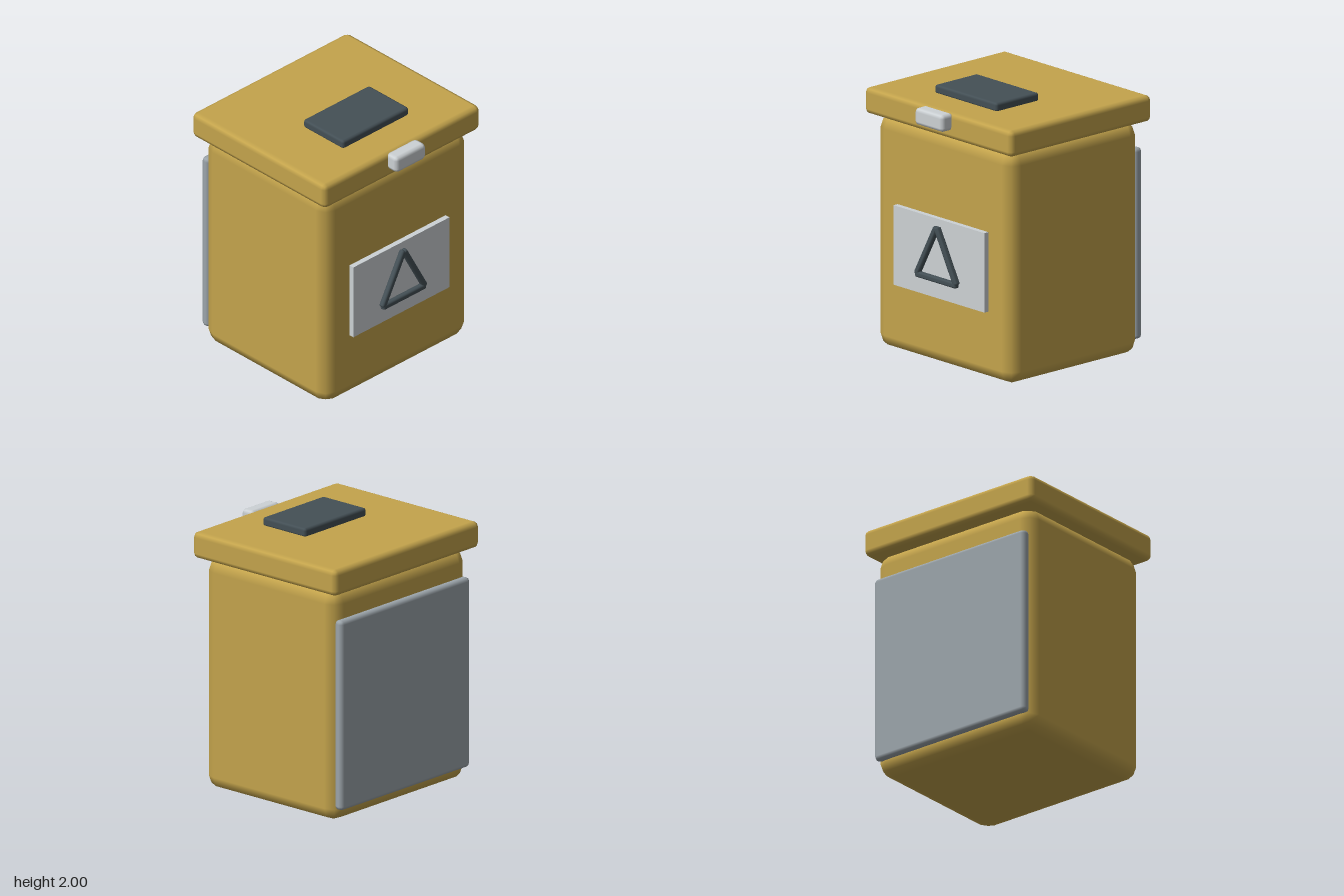
import * as THREE from 'three';
import { RoundedBoxGeometry } from 'three/addons/geometries/RoundedBoxGeometry.js';

function material(name, color) {
  const m = new THREE.MeshStandardMaterial({ color });
  m.name = name;
  return m;
}

export function createModel() {
  const model = new THREE.Group();
  model.name = 'bin';

  const mustard = material('mustard', 0xc4a44c);
  const lightGrey = material('light grey', 0xcdd2d5);
  const steelGrey = material('steel grey', 0x9ca5ab);
  const charcoal = material('charcoal', 0x445056);

  // Box given by its [min, max] extents, with chamfered edges when radius > 0
  function box(name, mat, [x0, x1], [y0, y1], [z0, z1], radius) {
    const size = [x1 - x0, y1 - y0, z1 - z0];
    const geometry = radius > 0
      ? new RoundedBoxGeometry(...size, 1, radius)
      : new THREE.BoxGeometry(...size);
    const mesh = new THREE.Mesh(geometry, mat);
    mesh.name = name;
    mesh.position.set((x0 + x1) / 2, (y0 + y1) / 2, (z0 + z1) / 2);
    model.add(mesh);
    return mesh;
  }

  // Container and overhanging lid
  box('body', mustard, [-0.72, 0.72], [0, 1.745], [-0.675, 0.59], 0.1);
  box('lid', mustard, [-0.78, 0.78], [1.74, 1.94], [-0.735, 0.645], 0.04);

  // Lid fittings
  box('lidPad', charcoal, [-0.33, 0.33], [1.93, 2.0], [-0.045, 0.37], 0.02);
  box('latch', lightGrey, [-0.15, 0.15], [1.81, 1.94], [0.62, 0.735], 0.03);

  // Back panel and front plate
  box('backPanel', steelGrey, [-0.695, 0.695], [0.1, 1.535], [-0.72, -0.645], 0.03);
  box('frontPlate', lightGrey, [-0.48, 0.48], [0.52, 1.115], [0.585, 0.63], 0);

  // Triangle of three bars on the front plate
  const triangle = new THREE.Group();
  triangle.name = 'triangle';
  triangle.position.z = 0.65;
  model.add(triangle);
  const bars = [
    [[-0.215, 0.667], [0.215, 0.667]],
    [[0.21, 0.667], [0, 1.06]],
    [[-0.21, 0.667], [0, 1.06]],
  ];
  for (const [[ax, ay], [bx, by]] of bars) {
    const length = Math.hypot(bx - ax, by - ay);
    const bar = new THREE.Mesh(new RoundedBoxGeometry(length, 0.045, 0.045, 1, 0.015), charcoal);
    bar.name = 'triangleBar';
    bar.position.set((ax + bx) / 2, (ay + by) / 2, 0);
    bar.rotation.z = Math.atan2(by - ay, bx - ax);
    triangle.add(bar);
  }

  return model;
}
